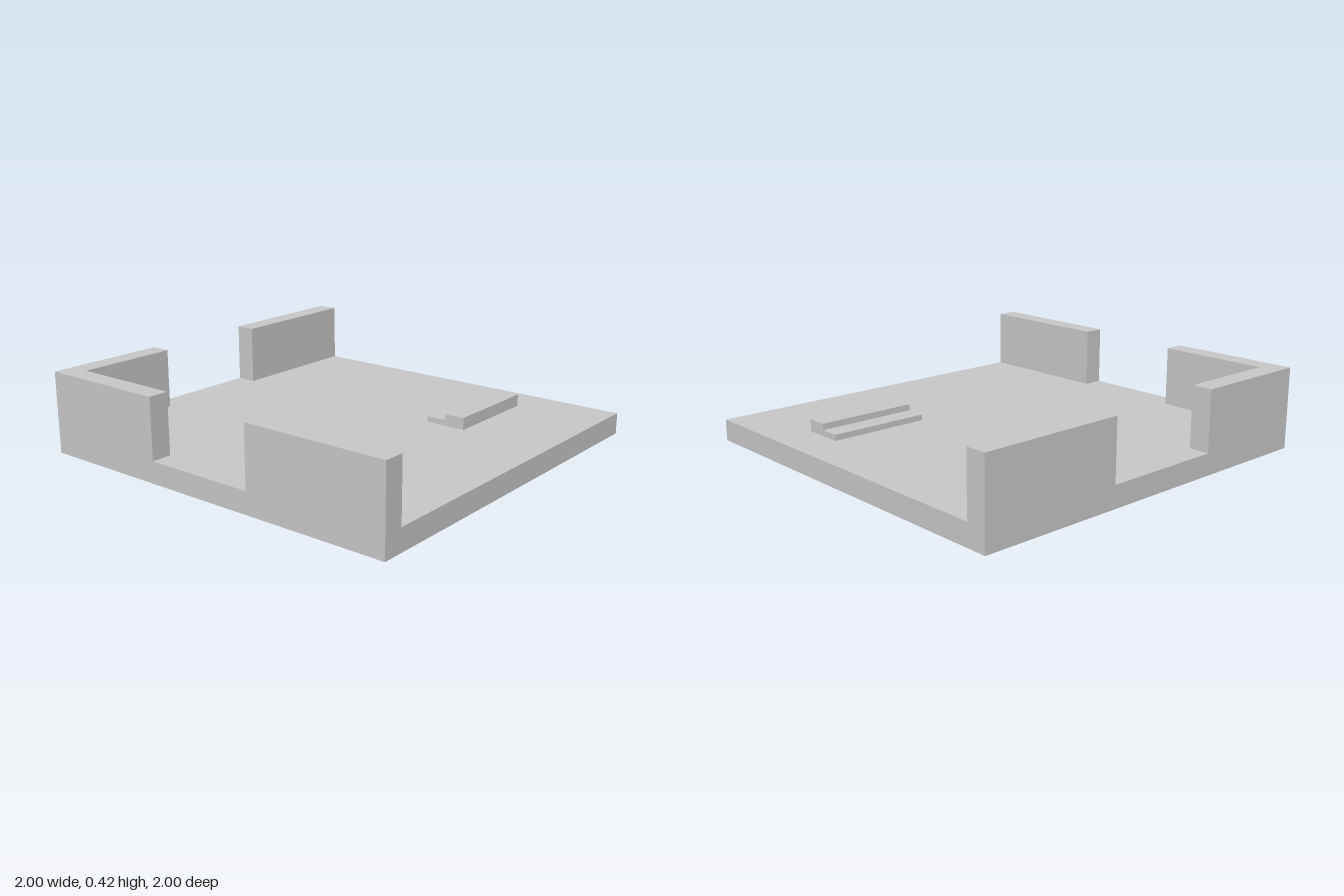
import * as THREE from 'three';

const FLOOR = 0.11, TOP = 0.415, INNER = 0.895;

export function createModel() {
  const group = new THREE.Group();
  const lightGrey = new THREE.MeshStandardMaterial({ color: 0xc8c8c8 });
  lightGrey.name = 'lightGrey';

  const add = (name, geometry) => {
    const mesh = new THREE.Mesh(geometry, lightGrey);
    mesh.name = name;
    group.add(mesh);
    return mesh;
  };

  // Box given by its extents on each axis
  const block = (name, [x0, x1], [y0, y1], [z0, z1]) =>
    add(name, new THREE.BoxGeometry(x1 - x0, y1 - y0, z1 - z0))
      .position.set((x0 + x1) / 2, (y0 + y1) / 2, (z0 + z1) / 2);

  block('floor', [-1, 1], [0, FLOOR], [-1, 1]);

  // Straight walls beside the two doorways
  block('frontWall', [0.265, 1], [FLOOR, TOP], [INNER, 1]);
  block('sideWall', [-1, -INNER], [FLOOR, TOP], [-1, -0.265]);

  // L-shaped corner wall, drawn in plan (shape y = -z) and raised
  const plan = new THREE.Shape([
    [-1, -1], [-0.317, -1], [-0.317, -INNER], [-INNER, -INNER], [-INNER, -0.37], [-1, -0.37],
  ].map(([x, y]) => new THREE.Vector2(x, y)));
  const corner = new THREE.ExtrudeGeometry(plan, { depth: TOP - FLOOR, bevelEnabled: false });
  corner.rotateX(-Math.PI / 2).translate(0, FLOOR, 0);
  add('cornerWall', corner);

  // Two-level step on the floor
  block('lowerStep', [0.317, 0.423], [FLOOR, FLOOR + 0.03], [-0.79, -0.265]);
  block('upperStep', [0.423, 0.53], [FLOOR, 0.172], [-0.79, -0.265]);

  return group;
}
